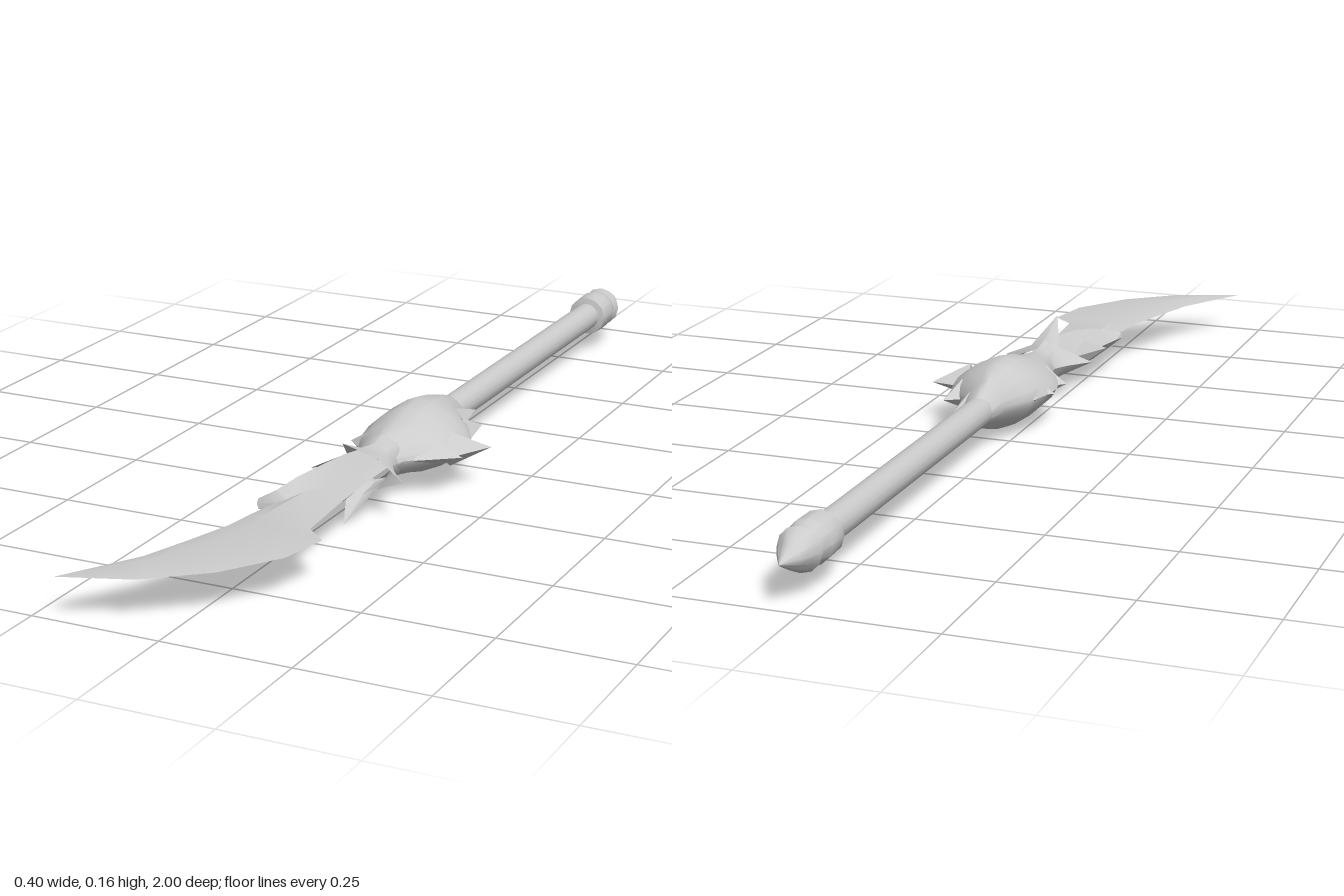
import * as THREE from 'three';
import { toCreasedNormals } from 'three/addons/utils/BufferGeometryUtils.js';

const CX = 0.036, CY = 0.08; // weapon axis, running along z
const material = new THREE.MeshStandardMaterial({ color: 0xcccccc, side: THREE.DoubleSide });

// Skin a list of equal-length rings of [x, y, z], counter-clockwise seen from the end
function loft(rings, crease, capped = true) {
  const n = rings[0].length, pos = rings.flat(2), index = [];
  for (let i = 0; i < rings.length - 1; i++)
    for (let j = 0; j < n; j++) {
      const a = i * n + j, b = i * n + (j + 1) % n;
      index.push(a, b, a + n, b, b + n, a + n);
    }
  if (capped)
    for (let j = 1; j < n - 1; j++) {
      const e = (rings.length - 1) * n;
      index.push(0, j + 1, j, e, e + j, e + j + 1);
    }
  const g = new THREE.BufferGeometry();
  g.setAttribute('position', new THREE.Float32BufferAttribute(pos, 3));
  g.setIndex(index);
  return toCreasedNormals(g, crease);
}

// Four-point section: right edge, top ridge, left edge, bottom ridge
const blade4 = (r, l, h, t, z = [r[1], l[1]]) => {
  const x = l[0] + (r[0] - l[0]) * t, mz = z[1] + (z[0] - z[1]) * t;
  return [[r[0], CY, z[0]], [x, CY + h, mz], [l[0], CY, z[1]], [x, CY - h, mz]];
};

// Flat thorn from base corners a, b to a tip, given as [x, z]
const thorn = (a, b, tip, h) => loft([blade4(a, b, h, 0.5), blade4(tip, tip, 0, 0.5)], 0.3);

export function createModel() {
  const model = new THREE.Group();
  const add = (name, geometry, parent = model) => {
    const mesh = new THREE.Mesh(geometry, material);
    mesh.name = name;
    parent.add(mesh);
    return mesh;
  };

  // Shaft
  const shaft = add('shaft', new THREE.CylinderGeometry(0.029, 0.029, 1.0, 16, 1, true));
  shaft.rotation.x = Math.PI / 2;
  shaft.position.set(CX, CY, -0.35);

  // Pommel: ring, groove and pointed cap, profile from the shaft out to the tip
  const profile = [[0.029, 0.825], [0.042, 0.828], [0.043, 0.88], [0.036, 0.902],
    [0.033, 0.91], [0.042, 0.918], [0.022, 0.96], [0, 1]].map(p => new THREE.Vector2(...p));
  const pommel = add('pommel', toCreasedNormals(new THREE.LatheGeometry(profile, 12), 0.6));
  pommel.rotation.x = -Math.PI / 2;
  pommel.position.set(CX, CY, 0);

  // Swollen head with pinched sides: z, left x, right x, half height
  const N = 16;
  const stations = [
    [-0.11, 0.022, 0.05, 0.014], [-0.08, 0.004, 0.069, 0.033], [-0.03, -0.003, 0.088, 0.05],
    [0.03, -0.037, 0.135, 0.067], [0.07, -0.05, 0.15, 0.073], [0.12, -0.056, 0.155, 0.066],
    [0.17, -0.047, 0.148, 0.05], [0.23, -0.009, 0.084, 0.041], [0.26, 0, 0.072, 0.034]];
  add('head', loft(stations.map(([z, l, r, h]) => Array.from({ length: N }, (_, j) => {
    const a = j / N * Math.PI * 2, c = Math.cos(a), s = Math.sin(a);
    const px = Math.sign(c) * Math.abs(c) ** 1.4, py = Math.sign(s) * Math.abs(s) ** 1.4;
    return [CX + px * (c > 0 ? r - CX : CX - l), CY + py * h, z];
  })), 0.8));

  // Thorns swept back from the head
  const thorns = new THREE.Group();
  thorns.name = 'headThorns';
  model.add(thorns);
  [
    [[0.035, 0.02], [0.1, 0.005], [0.08, -0.11], 0.04],
    [[0.08, 0.0], [0.145, 0.06], [0.13, -0.03], 0.03],
    [[0.115, 0.07], [0.148, 0.185], [0.2, 0.085], 0.035],
    [[0.09, 0.12], [0.1, 0.22], [0.175, 0.165], 0.035],
    [[-0.048, 0.1], [0.0, 0.03], [-0.042, 0.035], 0.025],
    [[-0.02, 0.13], [-0.025, 0.06], [-0.064, 0.09], 0.025],
    [[0.0, 0.225], [-0.03, 0.13], [-0.062, 0.165], 0.03],
    [[0.0, 0.03], [0.04, 0.01], [0.02, -0.03], 0.035],
  ].forEach(t => add('thorn', thorn(...t), thorns));

  // Collar flaring into four points, tallest above and below
  const collarRing = f => Array.from({ length: 8 }, (_, j) => {
    const [r, z] = f(j % 2 === 1, j % 4 === 2);
    const a = j / 8 * Math.PI * 2;
    return [CX + Math.cos(a) * r, CY + Math.sin(a) * r, z];
  });
  add('collar', loft([
    collarRing(() => [0.045, 0.225]),
    collarRing(() => [0.039, 0.262]),
    collarRing((notch, tall) => notch ? [0.041, 0.29] : tall ? [0.047, 0.315] : [0.058, 0.295]),
    collarRing((notch, tall) => notch ? [0.044, 0.315] : tall ? [0.08, 0.393] : [0.096, 0.338]),
  ], 0.8, false));

  // Flame-shaped guards wrapping the back edge of the blade
  add('guard', loft([
    blade4([0.055, 0.27], [0.0, 0.27], 0.034, 0.5),
    blade4([0.05, 0.36], [-0.015, 0.36], 0.046, 0.55),
    blade4([0.034, 0.41], [-0.034, 0.43], 0.043, 0.6),
    blade4([0.012, 0.475], [-0.044, 0.48], 0.034, 0.5),
    blade4([-0.012, 0.52], [-0.054, 0.525], 0.022, 0.5),
    blade4([-0.055, 0.547], [-0.06, 0.549], 0.01, 0.5),
  ], 0.5));
  add('guardThorn', thorn([-0.03, 0.46], [-0.008, 0.35], [-0.054, 0.455], 0.025));

  // Curved blade: cutting edge, back edge, half thickness
  add('blade', loft([
    [[0.07, 0.26], [0.005, 0.26], 0.01],
    [[0.07, 0.34], [-0.005, 0.36], 0.01],
    [[0.075, 0.48], [-0.028, 0.5], 0.01],
    [[0.086, 0.62], [-0.047, 0.62], 0.01],
    [[0.13, 0.66], [-0.053, 0.665], 0.01],
    [[0.11, 0.76], [-0.08, 0.755], 0.01],
    [[0.036, 0.868], [-0.113, 0.855], 0.009],
    [[-0.07, 0.953], [-0.155, 0.925], 0.006],
    [[-0.201, 1], [-0.201, 1], 0],
  ].map(([r, l, h]) => blade4(r, l, h, 0.28)), 0.4));

  return model;
}
